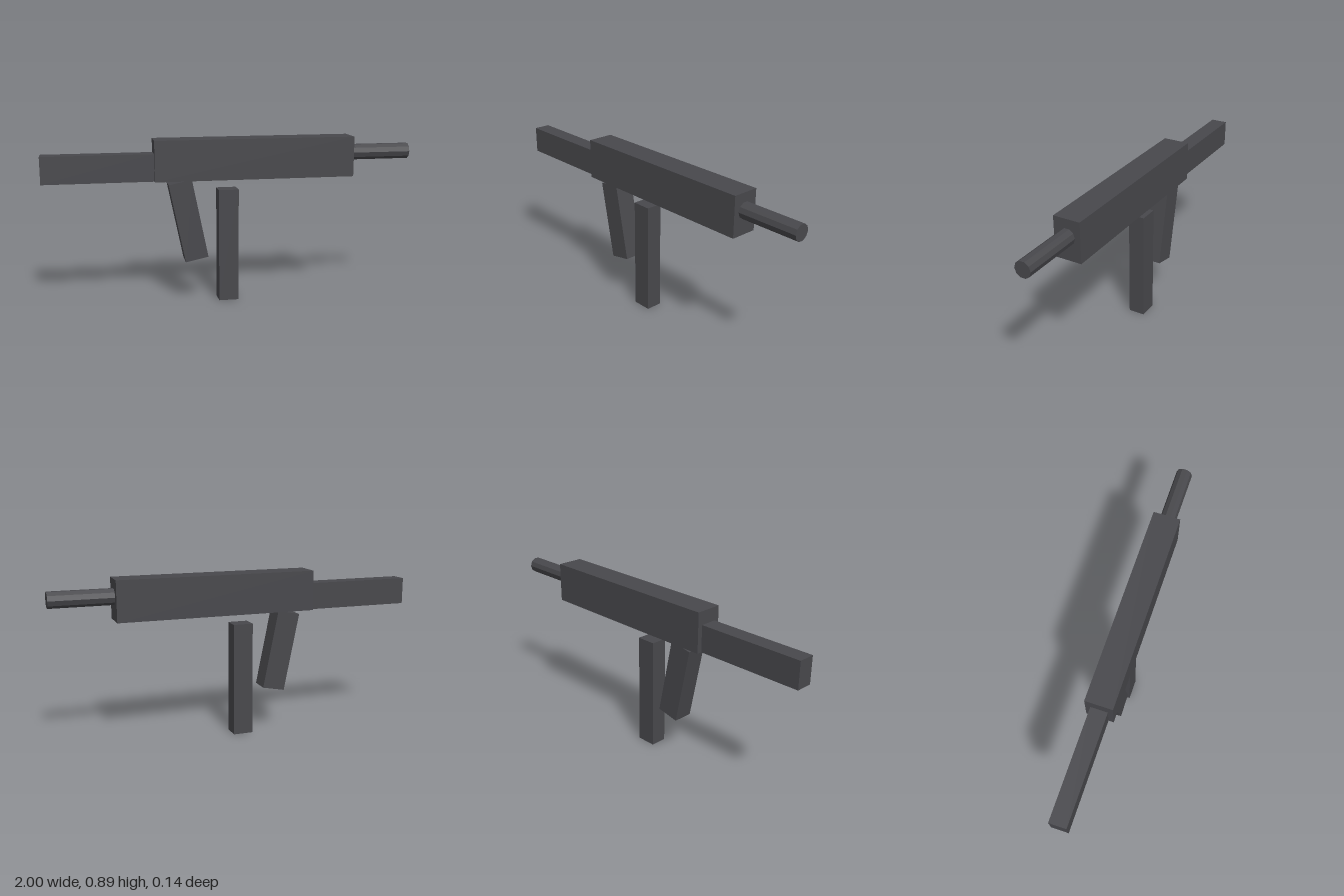
import * as THREE from 'three';

export function createModel() {
  const model = new THREE.Group();
  const gunmetal = new THREE.MeshStandardMaterial({ color: 0x48484c });
  gunmetal.name = 'gunmetal';
  gunmetal.flatShading = true;

  function add(name, geometry, x, y, tilt = 0) {
    const mesh = new THREE.Mesh(geometry, gunmetal);
    mesh.name = name;
    mesh.position.set(x, y, 0);
    mesh.rotation.z = tilt;
    model.add(mesh);
  }

  // Main body and the thinner stock behind it
  add('body', new THREE.BoxGeometry(1.084, 0.217, 0.145), 0.125, 0.784);
  add('stock', new THREE.BoxGeometry(0.583, 0.145, 0.09), -0.7085, 0.748);

  // Ten-sided barrel along x
  const barrel = new THREE.CylinderGeometry(0.0435, 0.0435, 0.333, 10);
  barrel.rotateZ(-Math.PI / 2);
  add('barrel', barrel, 0.8335, 0.801);

  // Tilted grip and upright magazine
  add('grip', new THREE.BoxGeometry(0.126, 0.434, 0.108), -0.239, 0.455, 0.2);
  add('magazine', new THREE.BoxGeometry(0.108, 0.618, 0.09), -0.02, 0.309);

  return model;
}
